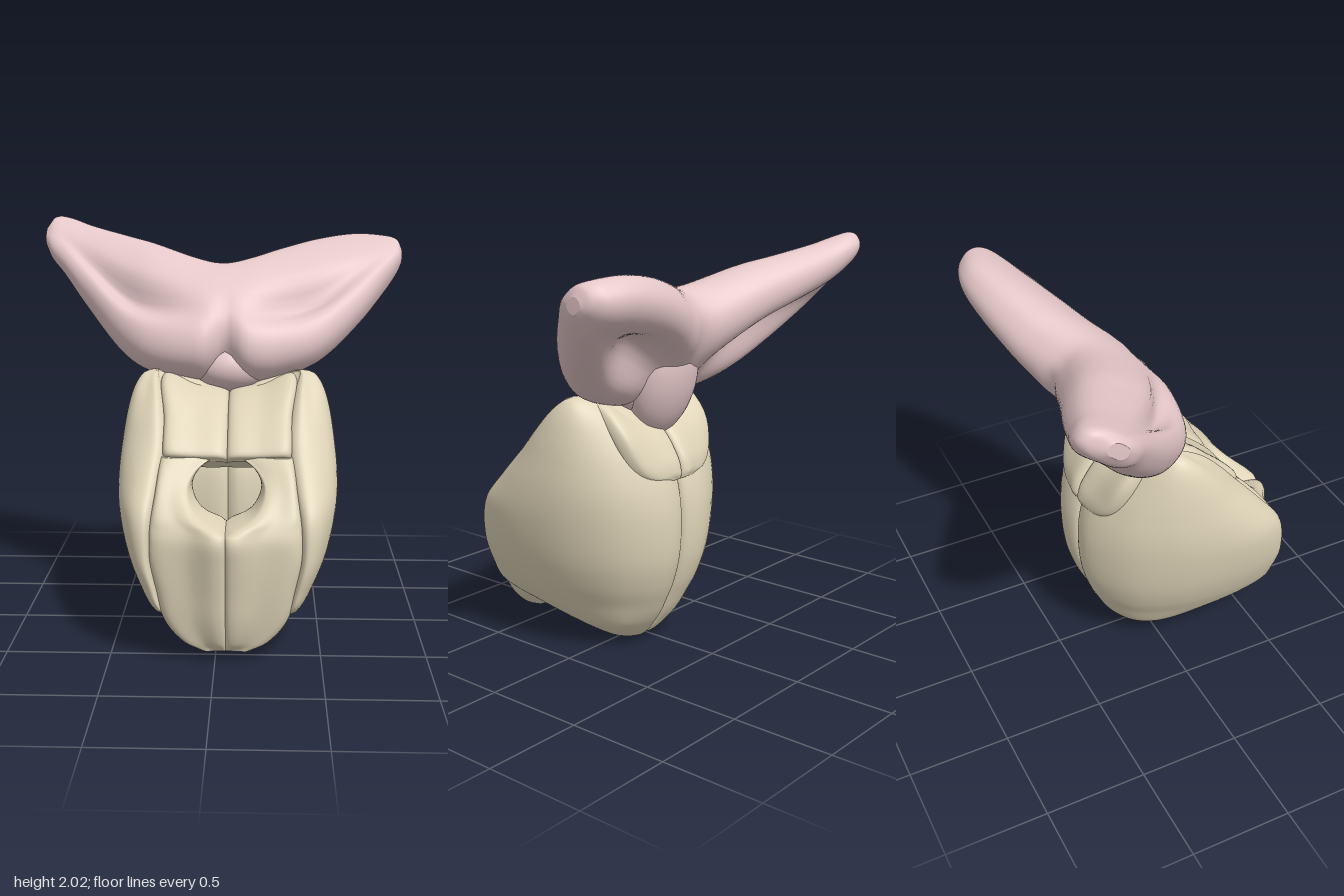
import * as THREE from 'three';

const CX = 0.05; // midplane of the cream body
const cream = new THREE.MeshStandardMaterial({ color: 0xdfd4b8, side: THREE.DoubleSide });
const pink = new THREE.MeshStandardMaterial({ color: 0xe6c8c9, side: THREE.DoubleSide });

// Smooth interpolation of rows keyed by their first column
function track(rows) {
  const slope = (i, c) => {
    const a = rows[Math.max(i - 1, 0)], b = rows[Math.min(i + 1, rows.length - 1)];
    return (b[c] - a[c]) / (b[0] - a[0]);
  };
  return (k) => {
    let i = 0;
    while (i < rows.length - 2 && k > rows[i + 1][0]) i++;
    const a = rows[i], b = rows[i + 1], h = b[0] - a[0], t = (k - a[0]) / h;
    const t2 = t * t, t3 = t2 * t;
    return a.map((v, c) => (2 * t3 - 3 * t2 + 1) * v + (t3 - 2 * t2 + t) * h * slope(i, c)
      + (3 * t2 - 2 * t3) * b[c] + (t3 - t2) * h * slope(i + 1, c));
  };
}

// Closed skin over a list of equal-length loops, capped at both ends
function loft(loops) {
  const n = loops[0].length, m = loops.length, pos = [], index = [];
  loops.forEach((l) => l.forEach((p) => pos.push(p.x, p.y, p.z)));
  for (let i = 0; i < m - 1; i++) {
    for (let j = 0; j < n; j++) {
      const k = (j + 1) % n, a = i * n + j, b = i * n + k, c = a + n, d = b + n;
      index.push(a, c, b, b, c, d);
    }
  }
  [0, m - 1].forEach((r, e) => {
    const c = new THREE.Vector3();
    loops[r].forEach((p) => c.addScaledVector(p, 1 / n));
    const ci = pos.length / 3;
    pos.push(c.x, c.y, c.z);
    for (let j = 0; j < n; j++) {
      const a = r * n + j, b = r * n + (j + 1) % n;
      if (e) index.push(ci, b, a); else index.push(ci, a, b);
    }
  });
  const g = new THREE.BufferGeometry();
  g.setAttribute('position', new THREE.Float32BufferAttribute(pos, 3));
  g.setIndex(index);
  g.computeVertexNormals();
  return g;
}

// Rings eased towards both ends, each made by section(row)
function loftRows(rows, steps, section) {
  const at = track(rows), k0 = rows[0][0], k1 = rows[rows.length - 1][0], loops = [];
  for (let i = 0; i <= steps; i++) {
    const s = (1 - Math.cos(Math.PI * i / steps)) / 2;
    loops.push(section(at(k0 + (k1 - k0) * s)));
  }
  return loft(loops);
}

function smoothLoop(points, n = 72) {
  const curve = new THREE.CatmullRomCurve3(points.map((p) => new THREE.Vector3(...p)), true, 'centripetal');
  return curve.getPoints(n).slice(0, n);
}

function addPair(group, name, geo) {
  const other = geo.clone().scale(-1, 1, 1);
  const ix = other.index.array;
  for (let i = 0; i < ix.length; i += 3) [ix[i], ix[i + 1]] = [ix[i + 1], ix[i]];
  other.computeVertexNormals();
  [[geo, 'left'], [other, 'right']].forEach(([g, side]) => {
    const mesh = new THREE.Mesh(g, cream);
    mesh.name = side + name;
    mesh.position.x = CX;
    group.add(mesh);
  });
}

// Side shell: y, inner x, half width, back z, front z, front seam x, recess z
function sideShell() {
  return loftRows([
    [0, .02, .06, -.05, .03, .04, .0],
    [.03, 0, .14, -.12, .1, .08, .07],
    [.12, 0, .27, -.2, .25, .15, .18],
    [.18, 0, .325, -.24, .42, .25, .2],
    [.24, 0, .37, -.27, .58, .29, .2],
    [.35, 0, .43, -.32, .62, .32, .2],
    [.5, 0, .485, -.36, .635, .35, .2],
    [.7, 0, .525, -.37, .605, .345, .2],
    [.85, 0, .53, -.35, .49, .32, .18],
    [1, 0, .515, -.3, .36, .3, .12],
    [1.12, .02, .495, -.235, .26, .31, .05],
    [1.22, .12, .465, -.15, .16, .33, .03],
    [1.28, .28, .425, -.06, .07, .35, 0],
    [1.295, .33, .39, -.02, .03, .35, .01],
  ], 64, ([y, xi, w, zb, zf, seam, zi]) => {
    const L = zf - zb, dx = w - xi, e = Math.min(.03, L * .1);
    return smoothLoop([
      [xi, y, zb + e * 1.5], [xi + dx * .06, y, zb + e * .3], [xi + dx * .3, y, zb],
      [xi + dx * .7, y, zb + L * .13], [xi + dx * .93, y, zb + L * .35],
      [w, y, zb + L * .62], [seam + (w - seam) * .87, y, zb + L * .83],
      [seam + (w - seam) * .5, y, zf - e * .8],
      [seam + (w - seam) * .18, y, zf + .003], [seam, y, zf - e],
      [seam - dx * .02, y, zi + (zf - zi) * .4], [xi + (seam - xi) * .7, y, zi], [xi, y, zi],
    ]);
  });
}

// Lower front plate with half of the round opening: y, inner x, seam x, ridge z, seam z, rear z
function lowerPlate() {
  return loftRows([
    [.045, 0, .11, .58, .57, .52],
    [.09, 0, .2, .62, .585, .48],
    [.2, 0, .285, .66, .605, .42],
    [.35, 0, .32, .69, .625, .44],
    [.5, 0, .35, .72, .635, .47],
    [.6, 0, .35, .735, .635, .45],
    [.65, .01, .35, .715, .62, .42],
    [.7, .12, .345, .64, .6, .4],
    [.8, .175, .33, .54, .535, .34],
    [.88, .14, .32, .45, .47, .3],
    [.94, .05, .31, .38, .41, .28],
  ], 56, ([y, xi, xs, zc, zs, zr]) => {
    const d = xs - xi, e = Math.min(.025, (zs - zr) * .25);
    return smoothLoop([
      [xi, y, zr], [xi + d * .6, y, zr], [xs, y, zr + e], [xs, y, zs - e],
      [xs - d * .1, y, zs + .005], [xi + d * .5, y, zs + (zc - zs) * .3],
      [xi + d * .15, y, zc - .01], [xi + .004, y, zc - e],
    ]);
  });
}

// Upper plate saddled over the top, ending in a rounded rear flap: step, z, y, half width, edge rise
function upperPlate() {
  return loftRows([
    [0, .37, .915, .28, .01],
    [1, .385, .965, .3, .02],
    [2, .24, 1.1, .305, .03],
    [3, .09, 1.19, .33, .07],
    [4, -.08, 1.2, .33, .07],
    [5, -.23, 1.13, .32, .02],
    [6, -.325, 1.01, .27, -.025],
    [7, -.355, .93, .2, -.03],
    [8, -.35, .89, .08, -.01],
  ], 52, ([, z, y, w, rise]) => {
    const q = (x, lift, depth) => {
      const v = new THREE.Vector2(z, y - .72);
      v.setLength(v.length() + lift - depth);
      return [x, v.y + .72, v.x];
    };
    return smoothLoop([
      q(w, rise, .09), q(w, rise, .02), q(w * .92, rise, 0), q(w * .5, rise * .35, 0),
      q(.03, 0, .002), q(.002, 0, .025), q(.002, 0, .1), q(w * .6, 0, .11),
    ]);
  });
}

// Wings: x, lower front edge y z, upper back edge y z, half thickness
function wings() {
  const bump = (v, c, s) => Math.exp(-(((v - c) / s) ** 2));
  return loftRows([
    [-.935, 1.88, -.53, 1.95, -.62, .03],
    [-.9, 1.82, -.47, 1.995, -.7, .06],
    [-.83, 1.75, -.4, 1.99, -.725, .08],
    [-.7, 1.59, -.28, 1.95, -.68, .11],
    [-.5, 1.38, -.08, 1.9, -.61, .15],
    [-.35, 1.3, .02, 1.86, -.55, .17],
    [-.1, 1.28, .08, 1.77, -.46, .18],
    [.02, 1.31, .04, 1.75, -.43, .18],
    [.15, 1.27, .08, 1.78, -.47, .18],
    [.3, 1.28, .06, 1.83, -.54, .17],
    [.5, 1.35, 0, 1.885, -.6, .15],
    [.7, 1.52, -.15, 1.91, -.62, .12],
    [.85, 1.69, -.31, 1.895, -.58, .09],
    [.91, 1.77, -.38, 1.88, -.53, .06],
    [.93, 1.8, -.43, 1.85, -.49, .03],
  ], 96, ([x, fy, fz, by, bz, t]) => {
    const axis = new THREE.Vector2(by - fy, bz - fz).multiplyScalar(.465);
    const nrm = new THREE.Vector2(-axis.y, axis.x).normalize();
    const hollow = bump(Math.abs(x), .42, .24), loop = [];
    const rim = (v) => Math.sign(v) * Math.abs(v) ** .85;
    for (let j = 0; j < 72; j++) {
      const a = -j / 72 * Math.PI * 2;
      const c = rim(Math.cos(a)), s = rim(Math.sin(a));
      let h = s * t * 1.15;
      // long hollows on both faces, deeper behind, and a cleft low in the middle
      if (s > 0) h -= s * .09 * hollow * bump(c, -.3, .22);
      else h -= s * (.16 * hollow * bump(c, .1, .4) + .05 * bump(x, .03, .06) * Math.max(0, c));
      const cleft = .045 * bump(x, .03, .045) * Math.max(0, -c);
      loop.push(new THREE.Vector3(x,
        (fy + by) / 2 + axis.x * c + nrm.x * h,
        (fz + bz) / 2 + axis.y * c + nrm.y * h - cleft));
    }
    return loop;
  });
}

export function createModel() {
  const model = new THREE.Group();
  const body = new THREE.Group();
  body.name = 'body';
  addPair(body, 'SideShell', sideShell());
  addPair(body, 'LowerFrontPlate', lowerPlate());
  addPair(body, 'UpperPlate', upperPlate());

  const crest = new THREE.Group();
  crest.name = 'crest';
  const wingMesh = new THREE.Mesh(wings(), pink);
  wingMesh.name = 'wings';
  crest.add(wingMesh);

  // Neck rising from the body into the back of the wings
  const neck = new THREE.Mesh(new THREE.SphereGeometry(1, 40, 28), pink);
  neck.name = 'neck';
  neck.scale.set(.19, .29, .14);
  neck.position.set(.05, 1.36, -.22);
  neck.rotation.x = -.25;
  crest.add(neck);

  // Root of the wings resting on the saddle
  const root = new THREE.Mesh(new THREE.SphereGeometry(1, 40, 28), pink);
  root.name = 'wingRoot';
  root.scale.set(.2, .13, .17);
  root.position.set(.06, 1.3, -.1);
  crest.add(root);

  model.add(body, crest);
  return model;
}
